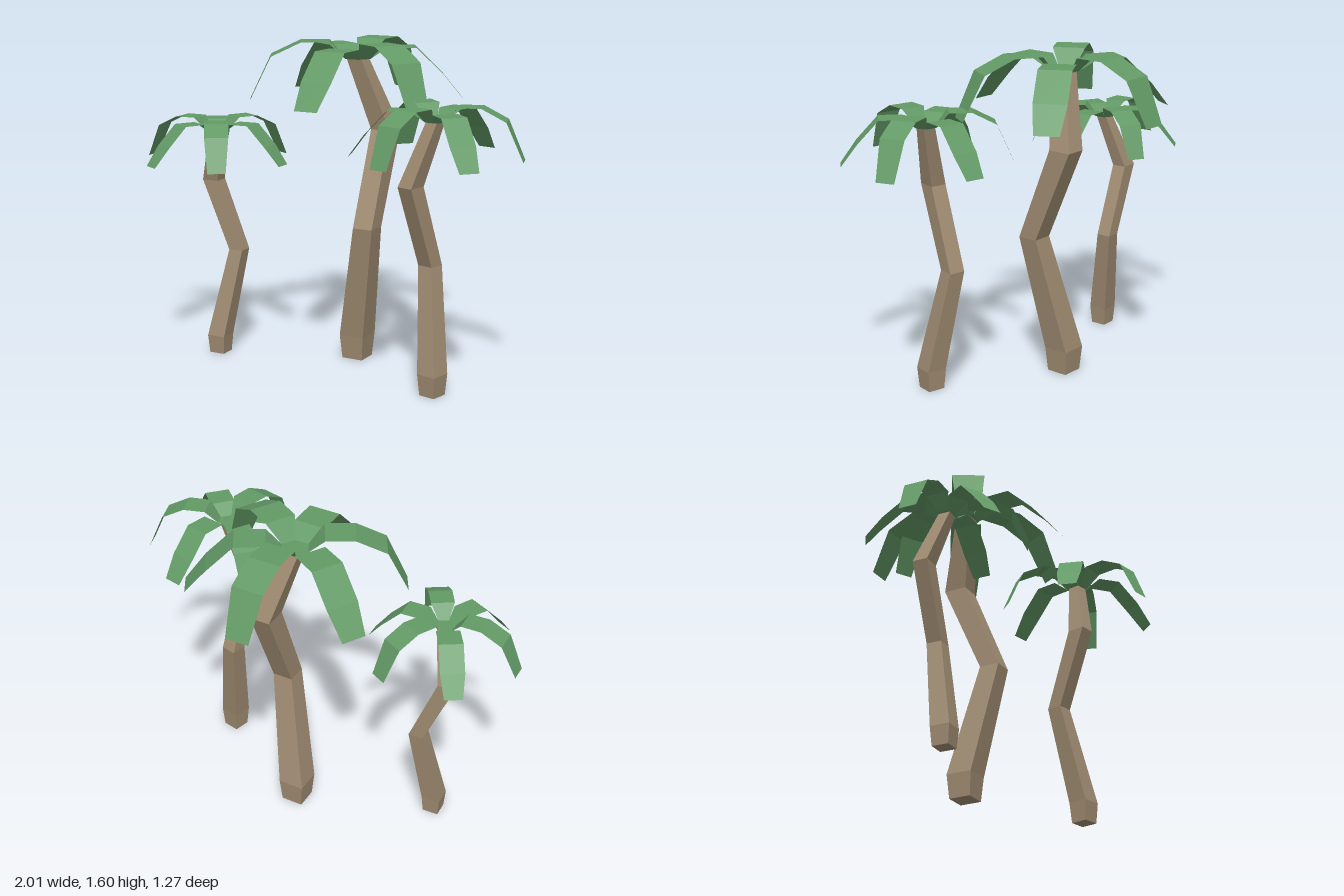
import * as THREE from 'three';

const bark = new THREE.MeshStandardMaterial({ color: 0xa08c72, flatShading: true });
bark.name = 'bark';
const green = new THREE.MeshStandardMaterial({ color: 0x639a66, flatShading: true, side: THREE.DoubleSide });
green.name = 'leafGreen';

// Trunk cross-sections: height, centre x, centre z, half width x, half width z
const TRUNK = [
  [0, 0, 0, 0.055, 0.055],
  [0.12, 0, 0, 0.065, 0.065],
  [0.7, 0.106, 0.1, 0.051, 0.051],
  [1.16, 0.106, -0.095, 0.051, 0.059],
  [1.51, 0, 0, 0.04, 0.04],
];

// Leaf profiles from crown to tip: radius, height, width
const HIGH_LEAF = [[0.06, 1.51, 0.07], [0.135, 1.595, 0.156], [0.275, 1.595, 0.16], [0.42, 1.527, 0.16], [0.522, 1.315, 0.12]];
const LOW_LEAF = [[0.06, 1.51, 0.07], [0.135, 1.567, 0.156], [0.28, 1.567, 0.16], [0.412, 1.438, 0.16], [0.512, 1.315, 0.12]];

function trunkGeometry() {
  const geo = new THREE.BoxGeometry(1, 1, 1, 1, TRUNK.length - 1, 1);
  const p = geo.attributes.position;
  for (let i = 0; i < p.count; i++) {
    const [y, cx, cz, hx, hz] = TRUNK[Math.round((p.getY(i) + 0.5) * (TRUNK.length - 1))];
    p.setXYZ(i, cx + p.getX(i) * 2 * hx, y, cz + p.getZ(i) * 2 * hz);
  }
  geo.computeVertexNormals();
  return geo;
}

function leafGeometry(profile) {
  const rows = profile.length - 1;
  const geo = new THREE.PlaneGeometry(1, 1, 1, rows);
  const p = geo.attributes.position;
  for (let i = 0; i < p.count; i++) {
    const [r, y, w] = profile[Math.round((0.5 - p.getY(i)) * rows)];
    p.setXYZ(i, r, y, -p.getX(i) * w);
  }
  geo.computeVertexNormals();
  return geo;
}

function palm(name, x, z, turn, spread, height) {
  const tree = new THREE.Group();
  tree.name = name;
  const add = (geo, mat, part) => {
    const mesh = new THREE.Mesh(geo, mat);
    mesh.name = part;
    tree.add(mesh);
    return mesh;
  };
  add(trunkGeometry(), bark, 'trunk');

  // Hexagonal floor of the cupped crown
  const floor = add(new THREE.CircleGeometry(0.0693, 6).rotateX(-Math.PI / 2), green, 'crownFloor');
  floor.position.y = 1.511;

  // Six leaves, alternating high and drooping
  for (let i = 0; i < 6; i++) {
    const leaf = add(leafGeometry(i % 2 ? LOW_LEAF : HIGH_LEAF), green, 'leaf' + (i + 1));
    leaf.rotation.y = -THREE.MathUtils.degToRad(30 + 60 * i);
  }
  tree.position.set(x, 0, z);
  tree.rotation.y = THREE.MathUtils.degToRad(turn);
  tree.scale.set(spread, height, spread);
  return tree;
}

export function createModel() {
  const model = new THREE.Group();
  model.name = 'palmTrees';
  model.add(
    palm('tallPalm', 0.025, -0.118, 0, 1, 1),
    palm('mediumPalm', 0.607, 0.23, 167, 0.77, 0.856),
    palm('smallPalm', -0.627, 0.14, 92.5, 0.722, 0.756),
  );
  return model;
}
